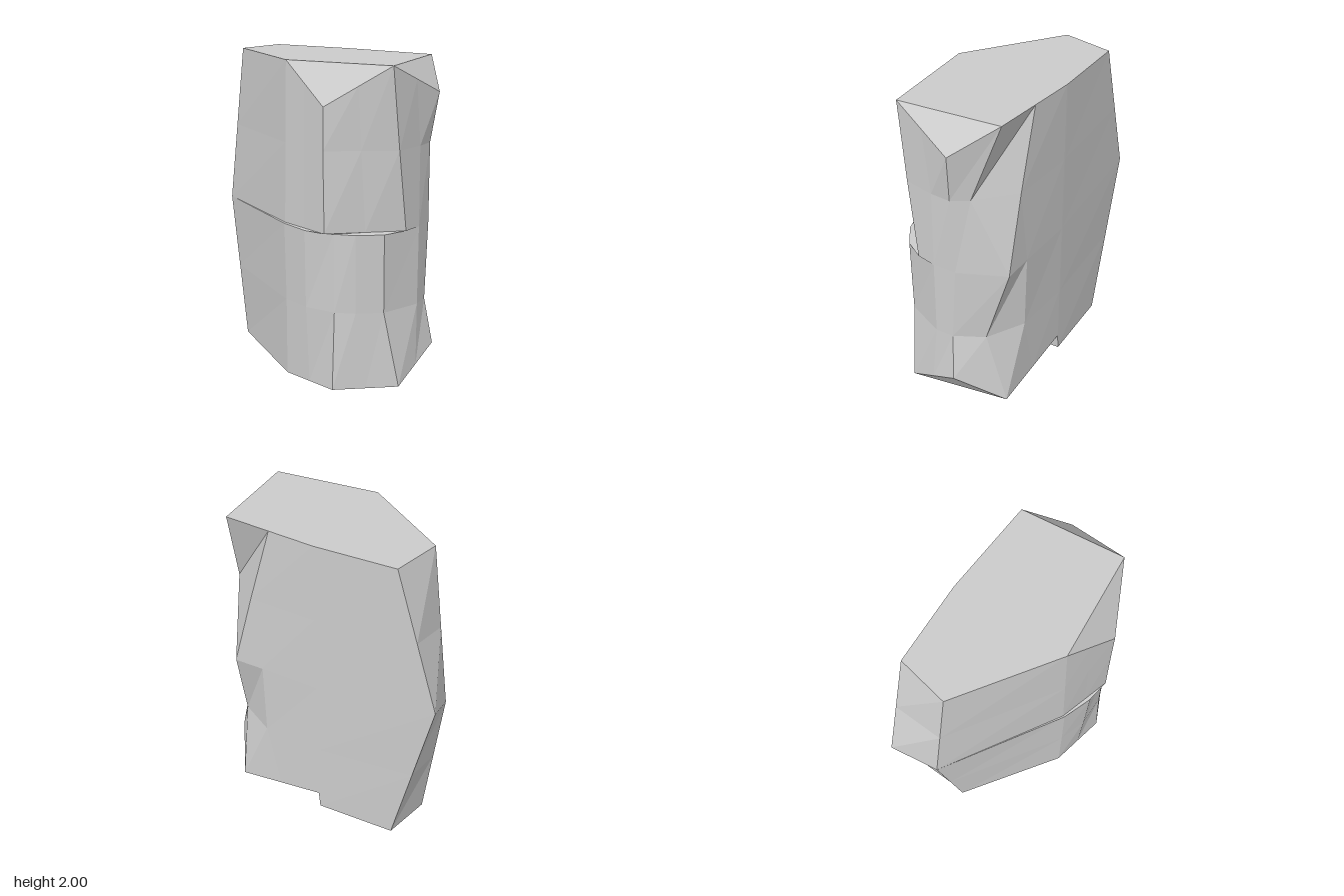
import * as THREE from 'three';

const V = (x, y, z) => new THREE.Vector3(x, y, z);
const mid = (a, b) => a.clone().lerp(b, 0.5);

// Rim loop of 13 corners, running back-left, left, front, right, back
function rim(backLeft, left, front, nose, frontRight, right, backRight, back, step) {
  return [backLeft, left, front, mid(front, nose), nose, mid(nose, frontRight), frontRight,
    mid(frontRight, right), right, backRight, mid(backRight, back), back, step];
}

// Horizontal section: left corners are given, the others are [x, z] at height y
function section(y, backLeft, left, xz) {
  return [backLeft, left, ...xz.map(([x, z]) => V(x, y, z)), V(0, y, -0.45), V(-0.01, y, -0.45)];
}

export function createModel() {
  const top = rim(V(-0.53, 2, -0.44), V(-0.6, 2, -0.11), V(-0.01, 2, 0.31), V(0.32, 1.76, 0.44),
    V(0.68, 2, 0.26), V(0.79, 1.81, -0.15), V(0.62, 2, -0.4), V(0, 2, -0.45), V(-0.01, 2, -0.45));
  const bottom = rim(V(-0.53, 0.01, -0.43), V(-0.6, 0.01, -0.11), V(0, 0, 0.33), V(0.38, 0, 0.42),
    V(0.73, 0.02, 0.21), V(0.79, 0.2, -0.15), V(0.61, 0.02, -0.43), V(0, 0.12, -0.45), V(-0.01, 0.01, -0.45));

  // The left side swells to a ridge at mid height
  const ridgeBack = V(-0.8, 1.1, -0.44), ridgeFront = V(-0.74, 0.97, -0.15);
  const low = [mid(bottom[0], ridgeBack), mid(bottom[1], ridgeFront)];
  const high = [mid(top[0], ridgeBack), mid(top[1], ridgeFront)];

  const rings = [
    bottom,
    // waist of the foot, cut in at the back right
    section(0.5, ...low, [[0, 0.335], [0.18, 0.4], [0.38, 0.4], [0.5, 0.35], [0.64, 0.25],
      [0.745, 0], [0.74, -0.12], [0.64, -0.3], [0.4, -0.43]]),
    // rounded front below the ledge
    section(0.995, ridgeBack, ridgeFront, [[-0.01, 0.34], [0.18, 0.415], [0.37, 0.4], [0.5, 0.36], [0.64, 0.26],
      [0.745, 0], [0.74, -0.15], [0.6, -0.44], [0.4, -0.44]]),
    // flat facet above the ledge
    section(1, ridgeBack, ridgeFront, [[-0.01, 0.33], [0.16, 0.385], [0.33, 0.44], [0.525, 0.285], [0.72, 0.13],
      [0.745, 0], [0.74, -0.15], [0.6, -0.44], [0.4, -0.44]]),
    // shoulder notch at the back right
    section(1.5, ...high, [[-0.01, 0.32], [0.155, 0.38], [0.32, 0.44], [0.51, 0.32], [0.7, 0.2],
      [0.74, 0], [0.745, -0.13], [0.68, -0.23], [0.46, -0.43]]),
    top,
  ];

  const pos = [];
  const tri = (a, b, c) => pos.push(...a.toArray(), ...b.toArray(), ...c.toArray());
  const fan = (loop, ids, flip) => {
    for (let i = 1; i < ids.length - 1; i++) {
      const [a, b, c] = [loop[ids[0]], loop[ids[i]], loop[ids[i + 1]]];
      flip ? tri(a, c, b) : tri(a, b, c);
    }
  };

  // Sides
  for (let r = 0; r < rings.length - 1; r++) {
    const lo = rings[r], up = rings[r + 1], n = lo.length;
    for (let i = 0; i < n; i++) {
      const j = (i + 1) % n;
      tri(lo[i], lo[j], up[j]);
      tri(lo[i], up[j], up[i]);
    }
  }
  // Flat top with its two bevelled corners
  fan(top, [0, 1, 2, 6, 9, 10, 11, 12]);
  fan(top, [2, 3, 4, 5, 6]);
  fan(top, [6, 7, 8, 9]);
  // Underside: flat on the left, stepped up on the right, one bevelled corner
  fan(bottom, [12, 0, 1, 2], true);
  fan(bottom, [2, 11, 12], true);
  fan(bottom, [2, 3, 4, 5, 6, 9, 10, 11], true);
  fan(bottom, [6, 7, 8, 9], true);

  const geometry = new THREE.BufferGeometry();
  geometry.setAttribute('position', new THREE.Float32BufferAttribute(pos, 3));
  geometry.computeVertexNormals();

  const rock = new THREE.Mesh(geometry, new THREE.MeshStandardMaterial({ color: 0xcccccc, flatShading: true }));
  rock.name = 'rockBlock';
  const group = new THREE.Group();
  group.name = 'rock';
  group.add(rock);
  return group;
}
